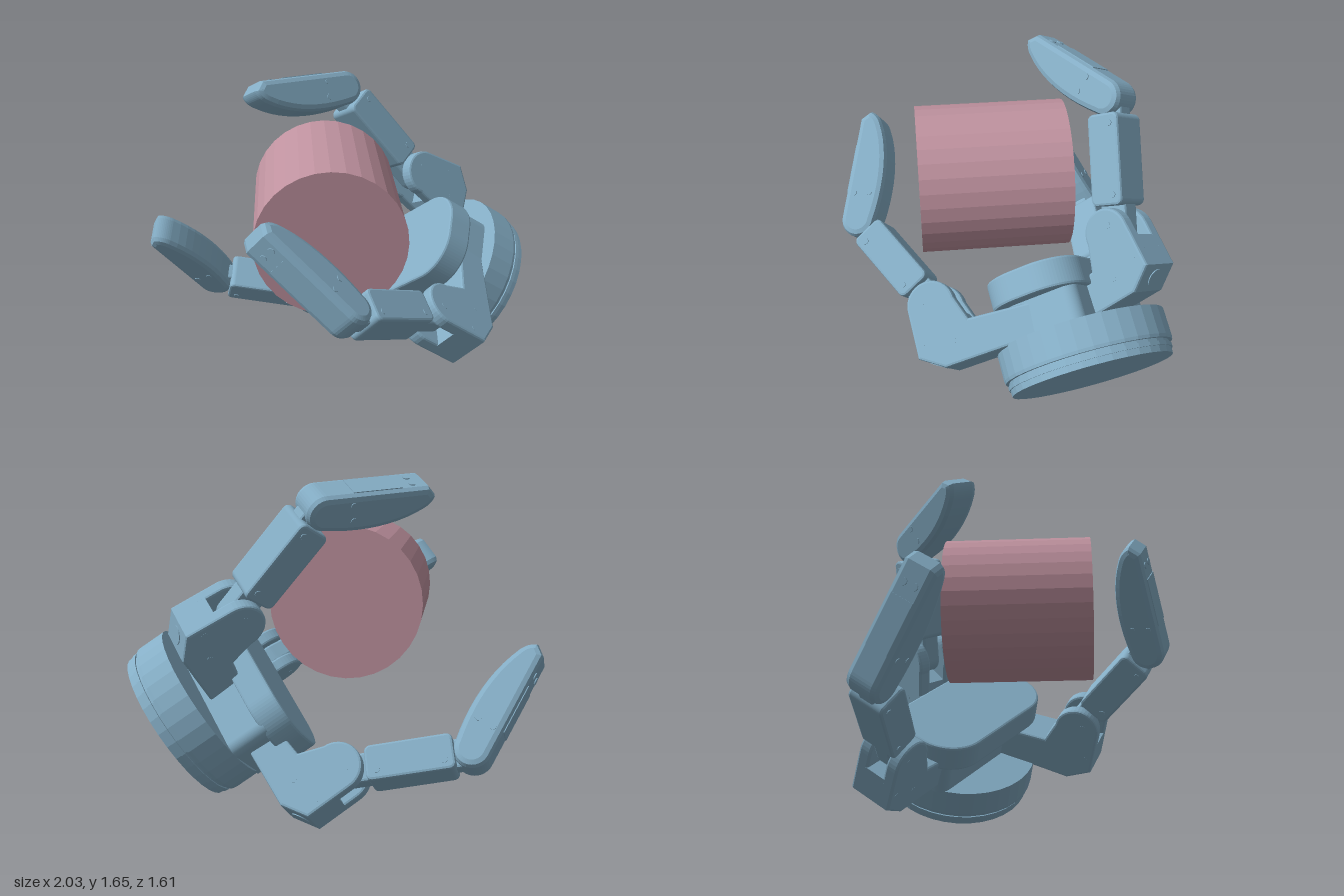
import * as THREE from 'three';

const V = (x, y, z) => new THREE.Vector3(x, y, z);
const blue = new THREE.MeshStandardMaterial({ color: 0x85aec6, flatShading: true });
const pink = new THREE.MeshStandardMaterial({ color: 0xbf929f, flatShading: true });

function add(parent, name, geometry, material = blue) {
  const mesh = new THREE.Mesh(geometry, material);
  mesh.name = name;
  parent.add(mesh);
  return mesh;
}

// Group whose local x runs along p, local y towards q
function frame(name, origin, p, q) {
  const x = p.clone().normalize();
  const y = q.clone().addScaledVector(x, -q.dot(x)).normalize();
  const z = x.clone().cross(y);
  const g = new THREE.Group();
  g.name = name;
  g.quaternion.setFromRotationMatrix(new THREE.Matrix4().makeBasis(x, y, z));
  g.position.copy(origin);
  return g;
}

// Bevelled plate from a 2D profile, centred on z
function plate(shape, width, bevel = 0.012) {
  const g = new THREE.ExtrudeGeometry(shape, {
    depth: width - 2 * bevel, bevelEnabled: bevel > 0, bevelThickness: bevel,
    bevelSize: bevel, bevelOffset: -bevel, bevelSegments: 2, curveSegments: 10,
  });
  return g.translate(0, 0, -width / 2 + bevel);
}

const polygon = (pts) => new THREE.Shape(pts.map(([x, y]) => new THREE.Vector2(x, y)));

// Stadium-like lug between two points on local x
function lug(x0, x1, r) {
  const s = new THREE.Shape();
  s.absarc(x1, 0, r, -Math.PI / 2, Math.PI / 2);
  s.absarc(x0, 0, r, Math.PI / 2, Math.PI * 1.5);
  return s;
}

function roundedRect(x0, x1, y0, y1, r) {
  const s = new THREE.Shape(), h = Math.PI / 2;
  s.absarc(x1 - r, y1 - r, r, 0, h);
  s.absarc(x0 + r, y1 - r, r, h, 2 * h);
  s.absarc(x0 + r, y0 + r, r, 2 * h, 3 * h);
  s.absarc(x1 - r, y0 + r, r, 3 * h, 4 * h);
  return s;
}

// Small screw heads on both side faces
function screws(parent, spots, halfWidth) {
  for (const [x, y] of spots) for (const side of [-1, 1]) {
    const m = add(parent, 'screw', new THREE.CylinderGeometry(0.016, 0.016, 0.012, 10));
    m.rotation.x = Math.PI / 2;
    m.position.set(x, y, side * halfWidth);
  }
}

function makeFinger(name, knuckle, middle, tip, reach) {
  const finger = new THREE.Group();
  finger.name = name;
  const outward = middle.clone().sub(knuckle.clone().add(tip).multiplyScalar(0.5));

  // Knuckle block: two cheeks around a shorter core, chamfered at the back, with an arm to the palm
  const base = frame('knuckle', knuckle, tip.clone().sub(knuckle), outward);
  const back = [[-0.12, -0.16], [-0.15, -reach], [-0.31, -reach], [-0.31, 0.01]];
  const cheek = new THREE.Shape();
  cheek.moveTo(-0.23, 0.13);
  cheek.lineTo(0, 0.12);
  cheek.absarc(0, 0, 0.12, Math.PI / 2, -Math.PI / 2, true);
  for (const [x, y] of back) cheek.lineTo(x, y);
  for (const side of [-1, 1])
    add(base, 'knuckleCheek', plate(cheek, 0.07)).position.z = side * 0.085;
  const core = polygon([[-0.23, 0.13], [-0.07, 0.123], [-0.07, -0.13], ...back]);
  add(base, 'knuckleCore', plate(core, 0.13, 0));
  const plug = add(base, 'endPlug', new THREE.CylinderGeometry(0.045, 0.045, 0.02, 20));
  plug.rotation.z = Math.atan2(0.12, 0.08);
  plug.position.set(-0.265, 0.067, 0);
  screws(base, [[0.03, 0.03], [-0.16, 0.08], [-0.2, -0.06]], 0.115);

  // Inner link: box body with a narrow lug at each joint
  const dir = middle.clone().sub(knuckle);
  const len = dir.length();
  const inner = frame('innerLink', knuckle, dir, outward);
  add(inner, 'innerBody', plate(roundedRect(0.13, len - 0.08, -0.085, 0.085, 0.03), 0.2));
  add(inner, 'innerLug', plate(lug(0, 0.2, 0.07), 0.1));
  add(inner, 'outerLug', plate(lug(len - 0.15, len, 0.07), 0.09));
  screws(inner, [[0.18, 0.04], [len - 0.13, 0.04]], 0.098);

  // Outer link: rounded at the joint, full on the gripping side, slim at the tip
  const tipDir = tip.clone().sub(middle);
  const reachTip = tipDir.length();
  const outer = frame('outerLink', middle, tipDir, outward);
  const pad = new THREE.Shape();
  pad.absarc(0, 0, 0.088, Math.PI / 2, Math.PI * 1.5);
  pad.bezierCurveTo(0.2, -0.12, 0.38, -0.1, reachTip - 0.05, -0.03);
  pad.quadraticCurveTo(reachTip, -0.005, reachTip + 0.01, 0.04);
  pad.lineTo(reachTip - 0.035, 0.088);
  add(outer, 'fingertip', plate(pad, 0.18, 0.03));
  const cover = add(outer, 'backCover', new THREE.BoxGeometry(0.25, 0.01, 0.12));
  cover.position.set(0.26, 0.087, 0);
  screws(outer, [[0.13, 0.04], [0.14, -0.04]], 0.088);
  for (const z of [-0.03, 0.03]) {
    const m = add(outer, 'tipScrew', new THREE.CylinderGeometry(0.018, 0.018, 0.012, 10));
    m.position.set(0.45, 0.087, z);
  }

  // Joint pins
  for (const [g, r, w] of [[base, 0.035, 0.22], [outer, 0.03, 0.16]])
    add(g, 'jointPin', new THREE.CylinderGeometry(r, r, w, 14)).rotation.x = Math.PI / 2;
  finger.add(base, inner, outer);
  return finger;
}

export function createModel() {
  const model = new THREE.Group();
  model.name = 'gripper';

  // Held cylinder
  const held = add(model, 'heldCylinder', new THREE.CylinderGeometry(0.37, 0.37, 0.74, 32), pink);
  held.rotation.x = Math.PI / 2;
  held.position.set(-0.065, 1.03, 0.035);

  // Wrist drum with grooves near its outer face
  const axis = V(-0.81, 0.565, 0.17).normalize();
  const hub = V(0.6, 0.525, -0.335);
  const profile = [[0, 0], [0.4, 0], [0.402, 0.03], [0.408, 0.03], [0.408, 0.05], [0.4, 0.05],
    [0.4, 0.065], [0.417, 0.065], [0.42, 0.08], [0.42, 0.22], [0, 0.22]];
  const drum = add(model, 'wristDrum',
    new THREE.LatheGeometry(profile.map(([r, h]) => new THREE.Vector2(r, h)), 36));
  drum.quaternion.setFromUnitVectors(V(0, 1, 0), axis);
  drum.position.copy(hub).addScaledVector(axis, -0.22);

  // Palm: rounded slab on a narrower housing
  const along = V(-0.58, -0.6, -0.55);
  along.addScaledVector(axis, -along.dot(axis)).normalize();
  const palm = frame('palm', hub, along, axis.clone().cross(along));
  add(palm, 'palmSlab', plate(roundedRect(-0.42, 0.45, -0.2, 0.29, 0.2), 0.14)).position.z = 0.24;
  add(palm, 'palmHousing', plate(roundedRect(-0.33, 0.4, -0.17, 0.2, 0.06), 0.2, 0)).position.z = 0.09;
  model.add(palm);

  // Fingers: knuckle, middle joint, tip
  model.add(
    makeFinger('frontFinger', V(0.44, 0.605, 0.35), V(-0.01, 0.825, 0.7), V(-0.4, 1.2, 0.57), 0.5),
    makeFinger('upperFinger', V(0.44, 1.0, -0.53), V(0.03, 1.5, -0.54), V(-0.43, 1.54, -0.23), 0.42),
    makeFinger('lowerFinger', V(-0.08, 0.262, -0.585), V(-0.69, 0.385, -0.58), V(-0.945, 0.825, -0.3), 0.4),
  );
  return model;
}
